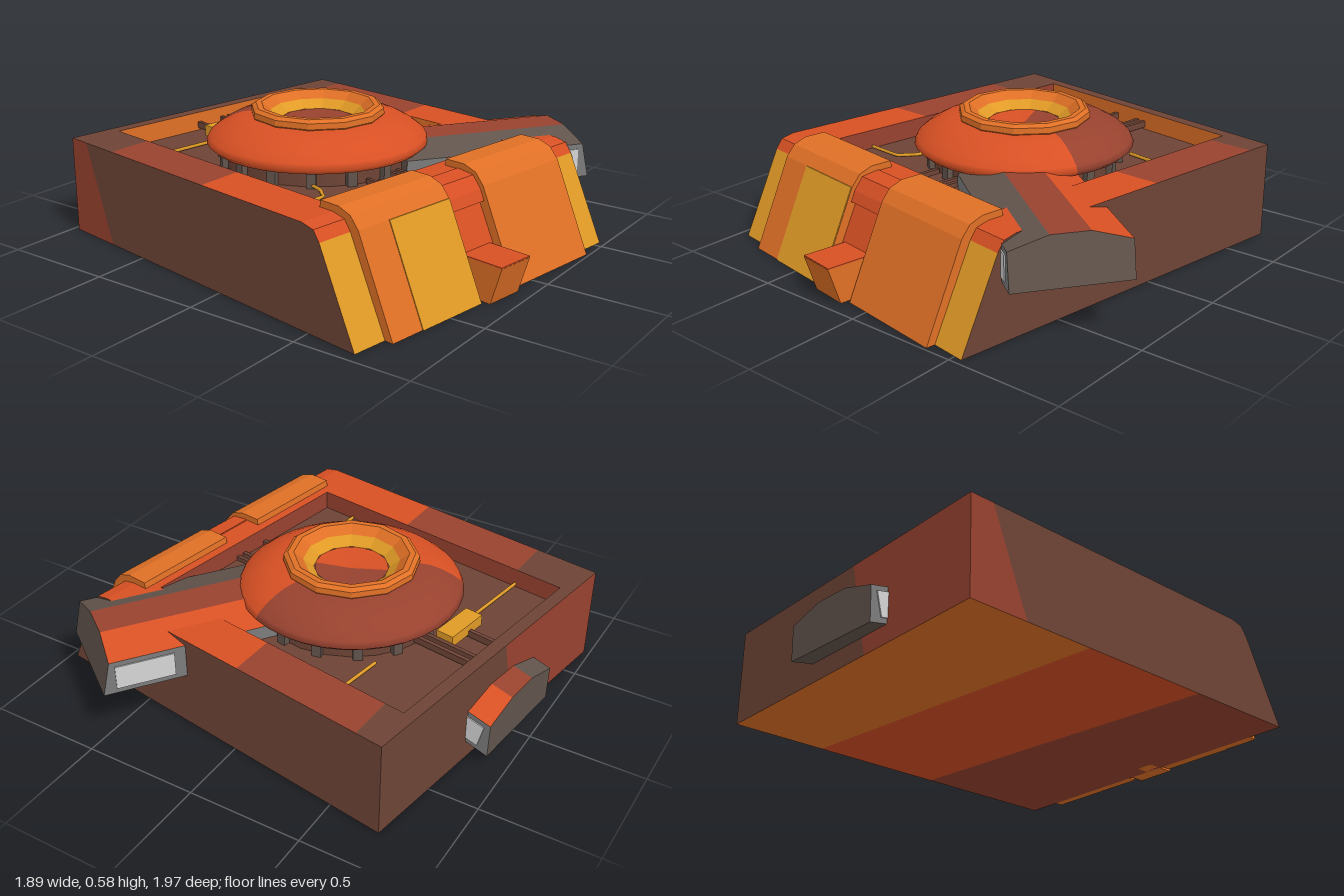
import * as THREE from 'three';

const mat = (name, color) => {
  const m = new THREE.MeshStandardMaterial({ color, side: THREE.DoubleSide });
  m.name = name;
  return m;
};

export function createModel() {
  const yellow = mat('yellow', 0xe09a26), orange = mat('orange', 0xe07026);
  const redOrange = mat('redOrange', 0xd85024), redBrown = mat('redBrown', 0x98422f);
  const brown = mat('brown', 0x6e4436), greyBrown = mat('greyBrown', 0x62544c);
  const grey = mat('grey', 0x7c7c7c), light = mat('lightGrey', 0xd6d6d6);

  const model = new THREE.Group();
  const body = new THREE.Group(); // everything square with the hull
  body.name = 'body';
  body.position.set(-0.07, 0, 0);
  body.rotation.y = -0.159;
  model.add(body);

  const add = (parent, name, geo, m, x = 0, y = 0, z = 0) => {
    const mesh = new THREE.Mesh(geo, m);
    mesh.name = name;
    mesh.position.set(x, y, z);
    parent.add(mesh);
    return mesh;
  };
  // flat polygon from corners listed anticlockwise
  const face = (parent, name, m, pts) => {
    const tri = [];
    for (let i = 1; i < pts.length - 1; i++) tri.push(...pts[0], ...pts[i], ...pts[i + 1]);
    const g = new THREE.BufferGeometry();
    g.setAttribute('position', new THREE.Float32BufferAttribute(tri, 3));
    g.computeVertexNormals();
    return add(parent, name, g, m);
  };
  const box = (parent, name, m, w, h, d, x, y, z) =>
    add(parent, name, new THREE.BoxGeometry(w, h, d), m, x, y, z);
  // prism along x from a (z, y) profile
  const prism = (name, m, profile, x0, x1) => {
    const s = new THREE.Shape(profile.map(p => new THREE.Vector2(...p)));
    const g = new THREE.ExtrudeGeometry(s, { depth: x1 - x0, bevelEnabled: false });
    return add(body, name, g.rotateY(-Math.PI / 2).translate(x1, 0, 0), m);
  };

  // hull shell
  const W = 0.755, B = -0.866, H = 0.425, deckY = 0.34;
  const nose = [[0.6, H], [0.66, 0.412], [0.69, 0.37], [0.866, 0]];
  const side = [[B, 0], [0.866, 0], ...nose.slice(0, 3).reverse(), [B, H]];
  face(body, 'leftSide', brown, side.map(([z, y]) => [W, y, z]).reverse());
  const rightCut = [[-0.6, 0], [0.866, 0], ...nose.slice(0, 3).reverse(), [-0.76, H]];
  face(body, 'rightSide', brown, rightCut.map(([z, y]) => [-W, y, z]));
  face(body, 'rightSideRear', redBrown, [[-W, 0, B], [-W, 0, -0.6], [-W, H, -0.76], [-W, H, B]]);
  face(body, 'backLeft', brown, [[W, 0, B], [-0.15, 0, B], [-0.05, H, B], [W, H, B]]);
  face(body, 'backRight', redBrown, [[-0.15, 0, B], [-W, 0, B], [-W, H, B], [-0.05, H, B]]);
  const noseBand = (name, m, i, x0, x1) => {
    const [z0, y0] = nose[i], [z1, y1] = nose[i + 1];
    face(body, name, m, [[x0, y1, z1], [x1, y1, z1], [x1, y0, z0], [x0, y0, z0]]);
  };
  noseBand('noseShoulder', redOrange, 0, -W, W);
  noseBand('noseShoulder', redOrange, 1, -W, W);
  noseBand('noseMiddle', redOrange, 2, -0.6, 0.6);
  noseBand('noseCorner', yellow, 2, -W, -0.6);
  noseBand('noseCorner', yellow, 2, 0.6, W);

  // horizontal strips whose ends may slant
  const strip = (name, m, y, x0, x1, za, zb) => face(body, name, m,
    [[x0, y, zb(x0)], [x1, y, zb(x1)], [x1, y, za(x1)], [x0, y, za(x0)]]);
  const at = z => () => z;
  const b1 = x => -0.66 - 0.115 * x, b2 = x => -0.06 - 0.12 * x;
  for (const [x0, x1] of [[-W, -0.55], [0.55, W]]) {
    strip('rimRear', brown, H, x0, x1, at(-0.81), b1);
    strip('rimMiddle', redBrown, H, x0, x1, b1, b2);
    strip('rimFront', redOrange, H, x0, x1, b2, at(0.49));
  }
  strip('rimBack', brown, H, -W, W, at(B), at(-0.81));
  strip('rimNose', redOrange, H, -W, W, at(0.49), at(0.6));
  const under = [at(B), x => -0.36 - 0.1 * x, x => 0.26 - 0.1 * x, at(0.866)];
  [orange, redOrange, redBrown].forEach((m, i) => {
    const [a, b] = [under[i], under[i + 1]];
    face(body, 'underside', m, [[-W, 0, a(-W)], [W, 0, a(W)], [W, 0, b(W)], [-W, 0, b(-W)]]);
  });

  // sunken deck and its walls
  strip('deck', brown, deckY, -0.55, 0.55, at(-0.81), at(0.49));
  const corners = [[-0.55, -0.81], [0.55, -0.81], [0.55, 0.49], [-0.55, 0.49]];
  corners.forEach(([x, z], i) => {
    const [u, w] = corners[(i + 1) % 4];
    face(body, 'deckWall', i < 2 ? orange : redBrown,
      [[x, deckY, z], [u, deckY, w], [u, H, w], [x, H, z]]);
  });
  for (const x of [-0.1, 0.035, 0.075]) {
    box(body, 'deckRail', brown, 0.018, 0.03, 0.3, x, deckY + 0.025, -0.66);
    box(body, 'deckRail', brown, 0.018, 0.02, 0.2, x, deckY + 0.01, 0.39);
  }
  box(body, 'deckBox', yellow, 0.21, 0.05, 0.08, -0.08, 0.385, -0.62);

  // pipes on the deck
  const pipe = pts => {
    const path = new THREE.CurvePath();
    const v = pts.map(([x, z]) => new THREE.Vector3(x, deckY + 0.012, z));
    for (let i = 1; i < v.length; i++) path.add(new THREE.LineCurve3(v[i - 1], v[i]));
    add(body, 'deckPipe', new THREE.TubeGeometry(path, 16, 0.008, 6), yellow);
  };
  pipe([[-0.55, -0.59], [-0.18, -0.59]]);
  pipe([[0.3, -0.48], [0.55, -0.48]]);
  pipe([[-0.54, 0.32], [-0.37, 0.31], [-0.32, 0.24], [-0.3, 0.15]]);

  // bent armour plates over the nose
  const plate = [[0.53, 0.42], [0.535, 0.453], [0.63, 0.453], [0.69, 0.432], [0.73, 0.385],
    [0.905, 0], [0.86, 0], [0.68, 0.37], [0.6, 0.42]];
  prism('frontPlateLeft', orange, plate, 0.103, 0.6);
  prism('frontPlateRight', orange, plate, -0.6, -0.103);
  prism('platePatch', yellow, [[0.729, 0.385], [0.734, 0.385], [0.909, 0], [0.904, 0]], -0.44, -0.105);
  prism('hood', redOrange, [[0.6, 0.4], [0.6, 0.43], [0.68, 0.42], [0.72, 0.37], [0.74, 0.325], [0.7, 0.325]], -0.1, 0.1);
  // step between the plates
  prism('frontStep', orange, [[0.8, 0], [0.935, 0], [0.985, 0.16], [0.78, 0.16]], -0.087, 0.087);
  box(body, 'frontStepTop', redOrange, 0.174, 0.005, 0.2, 0, 0.1625, 0.884);

  // dome
  const dome = new THREE.Group();
  dome.name = 'dome';
  dome.position.set(-0.05, 0, -0.11);
  model.add(dome);
  const lathe = (name, m, pts, seg, from = 0, sweep = 360) => {
    const r = Math.PI / 180;
    let g = new THREE.LatheGeometry(pts.map(p => new THREE.Vector2(...p)), seg, from * r, sweep * r);
    if (seg === 12) { g = g.toNonIndexed(); g.computeVertexNormals(); }
    return add(dome, name, g, m);
  };
  const shell = [[0.4, 0.4], [0.46, 0.41], [0.482, 0.43], [0.47, 0.455], [0.43, 0.487],
    [0.38, 0.515], [0.33, 0.533], [0.27, 0.542]];
  lathe('domeRear', redBrown, shell, 14, 66, 142);
  lathe('domeFront', redOrange, shell, 22, 208, 218);
  lathe('domeRing', orange, [[0.28, 0.53], [0.29, 0.545], [0.288, 0.57], [0.27, 0.583],
    [0.245, 0.583], [0.205, 0.55]], 12);
  lathe('bowlWall', yellow, [[0.205, 0.55], [0.16, 0.515]], 12);
  lathe('bowlFloorRear', redBrown, [[0.16, 0.515], [0, 0.505]], 6, 20, 180);
  lathe('bowlFloorFront', redOrange, [[0.16, 0.515], [0, 0.505]], 6, 200, 180);
  lathe('drum', brown, [[0.41, deckY], [0.41, 0.41]], 24);
  for (let i = 0; i < 16; i++) {
    const a = (i + 0.5) * Math.PI / 8;
    box(dome, 'drumPost', greyBrown, 0.04, 0.065, 0.03, 0.42 * Math.sin(a), 0.373, 0.42 * Math.cos(a)).rotation.y = a;
  }

  // windowed pod: outer end at z = 0, running back to z = -length
  const pod = (parent, name, length, roof) => {
    const g = new THREE.Group();
    g.name = name;
    parent.add(g);
    const ring = [[0.24, 0], [0.24, 0.15], [0.08, 0.195], [-0.08, 0.195], [-0.24, 0.15], [-0.24, 0]];
    const outer = ring.map(([x, y]) => [x, y, -0.22 * y]);
    const inner = ring.map(([x, y]) => [x, y, -length]);
    face(g, 'podEnd', greyBrown, outer);
    face(g, 'podBack', greyBrown, [...inner].reverse());
    const skins = [grey, ...roof, grey, greyBrown];
    skins.forEach((m, i) => {
      const j = (i + 1) % 6;
      face(g, 'podSkin', m, [outer[i], inner[i], inner[j], outer[j]]);
    });
    const deep = Math.min(0.3, length - 0.02);
    for (const s of [-1, 1])
      box(g, 'podWindow', light, 0.008, 0.105, deep - 0.055, s * 0.241, 0.075, -(deep + 0.055) / 2);
    return g;
  };
  const gun = pod(model, 'sidePod', 0.85, [redOrange, redBrown, greyBrown]);
  gun.position.set(0.795, 0.25, 0.65);
  gun.rotation.y = 0.945;
  const rear = pod(body, 'rearPod', 0.2, [greyBrown, redBrown, redOrange]);
  rear.position.set(-0.05, 0.06, -0.955);
  rear.rotation.set(0.24, Math.PI + 0.05, 0, 'YXZ');

  return model;
}
